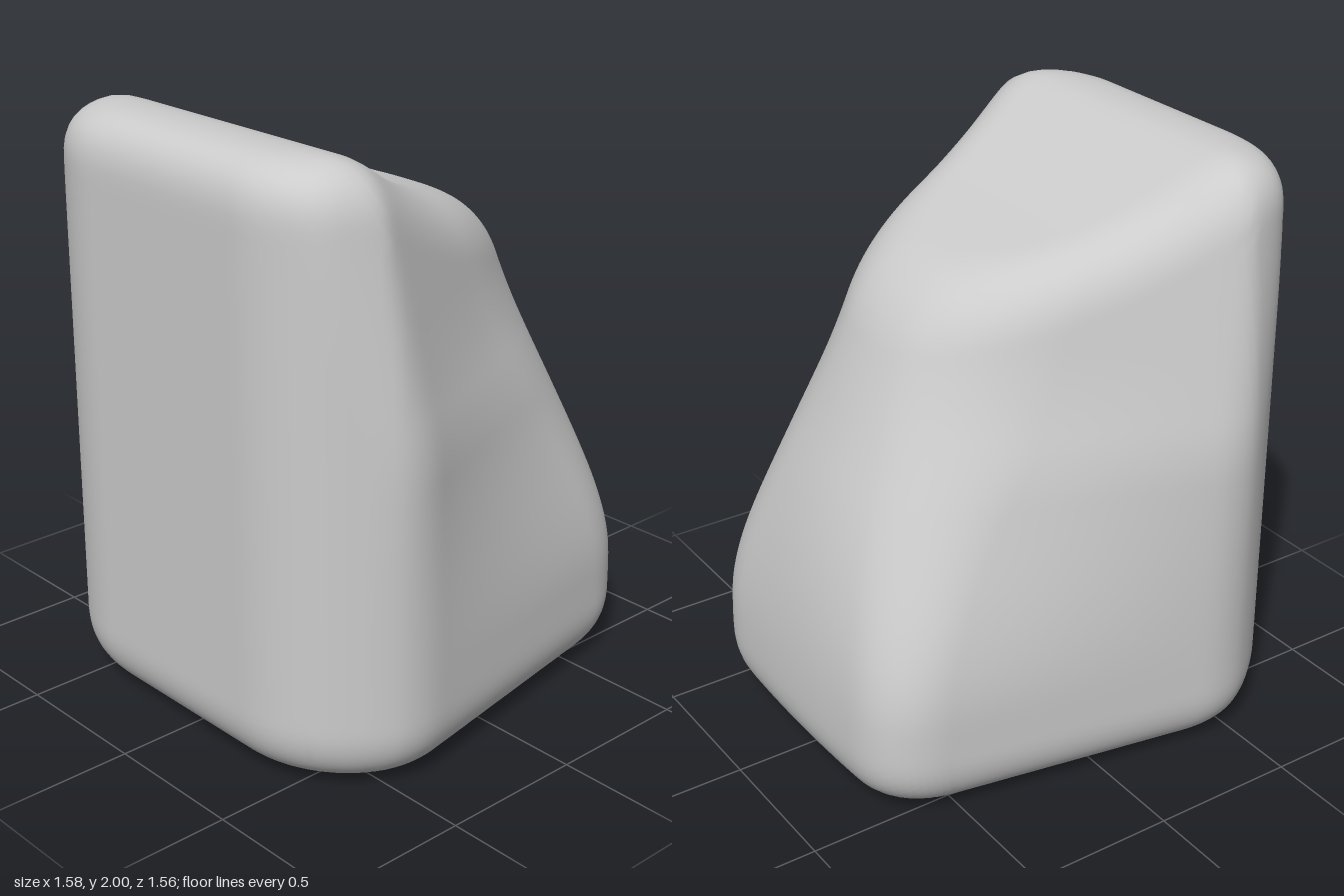
import * as THREE from 'three';
import { mergeVertices } from 'three/addons/utils/BufferGeometryUtils.js';

// Rounded maximum / minimum: k is the width of the blend
const smax = (a, b, k) => {
  const h = Math.max(k - Math.abs(a - b), 0) / k;
  return Math.max(a, b) + h * h * k / 4;
};
const smin = (a, b, k) => -smax(-a, -b, k);

// Height of the sloping top: flat ridge at the back, sagging towards +x
const topHeight = (x) => smin(2.0, 1.75 - 0.3 * x + (x < 0 ? 0.4 * x * x : 0), 0.06);

// Negative inside the stone, positive outside; z is mirrored
function stone(x, y, zSigned) {
  const z = Math.abs(zSigned);
  const t = THREE.MathUtils.smoothstep(y, 0.35, 1.5);
  const taper = 0.2 * smax(0, y - 1.12, 0.1);

  // Flanks: trapezoid below, narrowing to a rounded nose above
  const flank = z - (0.782 - taper - (0.18 + 0.27 * t) * Math.max(x + 0.4, -0.1));
  const chamfer = -0.65 * x + 0.76 * z - 0.922;
  const back = -0.79 - x;
  // Leaning face on the +x side, curved in plan, most strongly near the top
  const lean = x - (0.795 - 0.42 * smax(0, y - 0.64, 0.4) - (0.08 + 0.65 * t) * z * z);

  let walls = smax(flank, chamfer, 0.12);
  walls = smax(walls, back, 0.15);
  walls = smax(walls, lean, 0.2);
  return smax(smax(walls, y - topHeight(x), 0.18), -y, 0.22);
}

export function createModel() {
  const group = new THREE.Group();
  const centre = new THREE.Vector3(-0.1, 0.85, 0);

  // Push every point of a fine box along its ray onto the stone's surface
  let geometry = new THREE.BoxGeometry(1.6, 2, 1.5, 48, 56, 48);
  geometry.deleteAttribute('uv');
  geometry.deleteAttribute('normal');
  geometry = mergeVertices(geometry, 1e-4);
  const pos = geometry.attributes.position;
  const dir = new THREE.Vector3();
  const p = new THREE.Vector3();
  for (let i = 0; i < pos.count; i++) {
    dir.fromBufferAttribute(pos, i).normalize();
    let near = 0, far = 2.5;
    for (let n = 0; n < 30; n++) {
      const mid = (near + far) / 2;
      p.copy(centre).addScaledVector(dir, mid);
      if (stone(p.x, p.y, p.z) < 0) near = mid;
      else far = mid;
    }
    p.copy(centre).addScaledVector(dir, near);
    pos.setXYZ(i, p.x, p.y, p.z);
  }
  geometry.computeVertexNormals();

  const boulder = new THREE.Mesh(geometry, new THREE.MeshStandardMaterial({ color: 0xcccccc }));
  boulder.name = 'boulder';
  group.add(boulder);
  return group;
}
